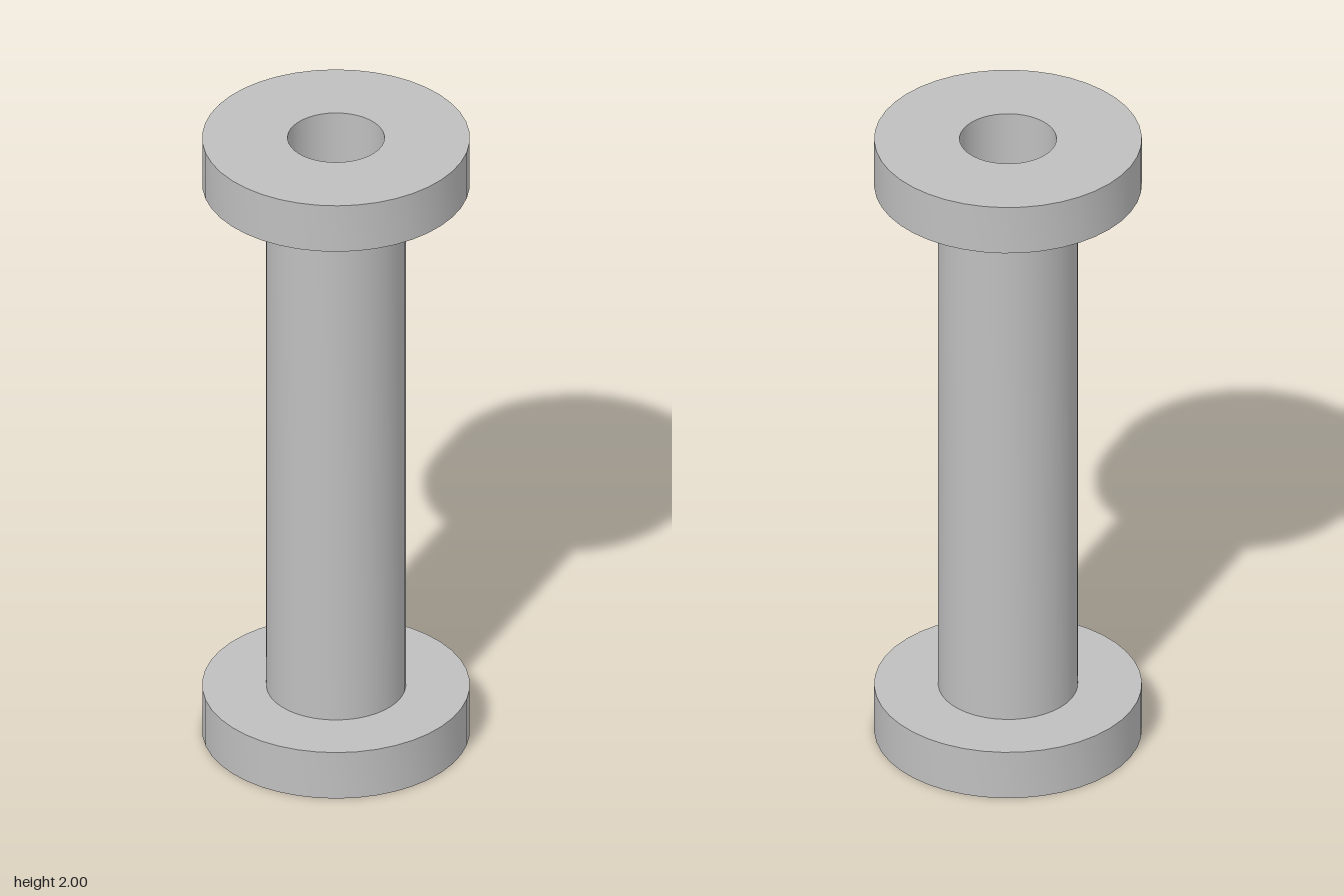
import * as THREE from 'three';
import { toCreasedNormals } from 'three/addons/utils/BufferGeometryUtils.js';

const BORE = 0.141, SHAFT = 0.203, FLANGE = 0.389;
const HEIGHT = 2, THICK = 0.155, SIDES = 42;

export function createModel() {
  const model = new THREE.Group();
  model.name = 'flangedSpool';
  const grey = new THREE.MeshStandardMaterial({ color: 0xbfbfbf });
  grey.name = 'grey';

  // Turned part from [radius, y] points, with sharp rims and smooth sides
  const turn = (name, points) => {
    const profile = points.map(([r, y]) => new THREE.Vector2(r, y));
    const geometry = toCreasedNormals(new THREE.LatheGeometry(profile, SIDES), Math.PI / 6);
    const mesh = new THREE.Mesh(geometry, grey);
    mesh.name = name;
    model.add(mesh);
  };

  // End flanges
  turn('bottomFlange', [[BORE, 0], [FLANGE, 0], [FLANGE, THICK], [SHAFT, THICK]]);
  turn('topFlange', [[SHAFT, HEIGHT - THICK], [FLANGE, HEIGHT - THICK], [FLANGE, HEIGHT], [BORE, HEIGHT]]);

  // Shaft between the flanges
  turn('shaft', [[SHAFT, THICK], [SHAFT, HEIGHT - THICK]]);

  // Through hole, facing inward
  turn('bore', [[BORE, HEIGHT], [BORE, 0]]);

  return model;
}
